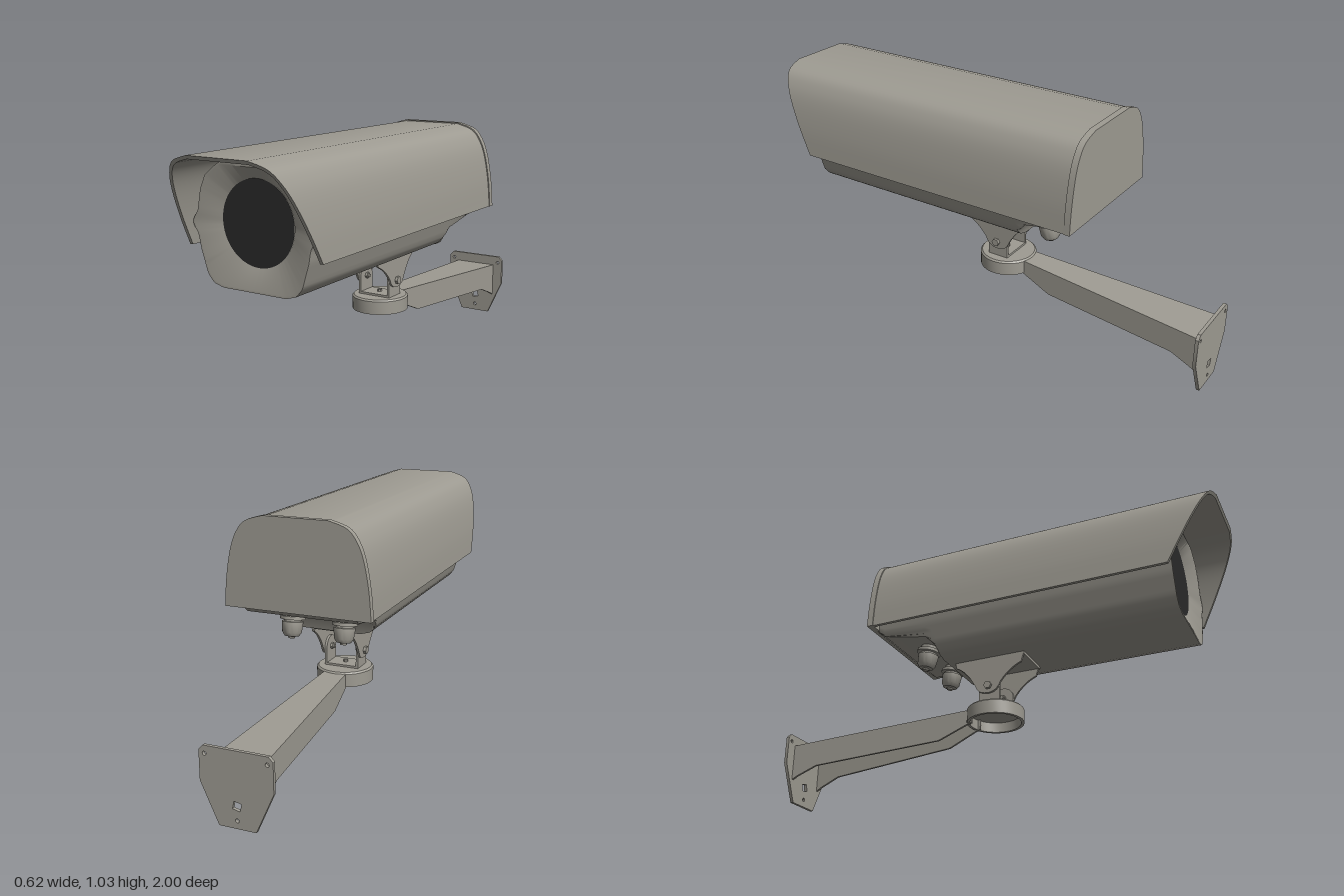
import * as THREE from 'three';
import { toCreasedNormals } from 'three/addons/utils/BufferGeometryUtils.js';

const lerp = THREE.MathUtils.lerp;
const mirror = (half) => [...half, ...half.slice().reverse().map(([x, y]) => [-x, y])];
const toShape = (pts) => new THREE.Shape(pts.map(([x, y]) => new THREE.Vector2(x, y)));
const smooth = (pts, n) => new THREE.SplineCurve(pts.map(([x, y]) => new THREE.Vector2(x, y)))
  .getPoints(n).map((p) => [p.x, p.y]);
const extrude = (shape, depth) => new THREE.ExtrudeGeometry(shape, { depth, bevelEnabled: false, curveSegments: 20 });

// Moves every vertex by a rule
function warp(geo, rule) {
  const p = geo.attributes.position, v = new THREE.Vector3();
  for (let i = 0; i < p.count; i++) {
    rule(v.fromBufferAttribute(p, i));
    p.setXYZ(i, v.x, v.y, v.z);
  }
  return geo;
}

// Plate outlined in (z, y), centred on the given x
const sidePlate = (shape, x, t) => extrude(shape, t).rotateY(-Math.PI / 2).translate(x + t / 2, 0, 0);

// Skin over equal-length rings, running front to back
function loft(rings) {
  const n = rings[0].length, index = [];
  for (let i = 0; i < rings.length - 1; i++) {
    for (let j = 0; j < n; j++) {
      const a = i * n + j, b = i * n + (j + 1) % n;
      index.push(a, a + n, b, b, a + n, b + n);
    }
  }
  const geo = new THREE.BufferGeometry();
  geo.setAttribute('position', new THREE.Float32BufferAttribute(rings.flat(2), 3));
  geo.setIndex(index);
  return geo;
}

export function createModel() {
  const model = new THREE.Group();
  const grey = new THREE.MeshStandardMaterial({ color: 0x9e9b92, side: THREE.DoubleSide });
  grey.name = 'warm grey metal';
  const black = new THREE.MeshStandardMaterial({ color: 0x2b2b2b });
  black.name = 'black glass';
  const add = (name, geo, mat = grey, parent = model) => {
    const mesh = new THREE.Mesh(toCreasedNormals(geo, 0.55), mat);
    mesh.name = name;
    parent.add(mesh);
    return mesh;
  };

  // Housing: dished front, long tube, undercut rear floor
  const cy = 0.77, lensR = 0.163;
  const outline = toShape(mirror([[0.145, 0.52], [0.19, 0.533], [0.217, 0.565], [0.247, 0.66], [0.256, 0.71],
    [0.279, 0.745], [0.279, 0.765], [0.256, 0.8], [0.24, 0.88], [0.215, 0.935], [0.15, 0.985]]));
  outline.closePath();
  const pts = outline.getSpacedPoints(120).slice(0, 120);
  const ring = (z, scale = 1, floor = 0) => pts.map((p) =>
    [p.x * scale, Math.max(floor, cy + (p.y - cy) * scale), z]);
  const lensRing = pts.map((p) => {
    const a = Math.atan2(p.y - cy, p.x);
    return [lensR * Math.cos(a), cy + lensR * Math.sin(a), 0.785];
  });
  add('housing', loft([lensRing, ring(0.82, 0.965), ring(0.82), ring(-0.22), ring(-0.235, 1, 0.57),
    ring(-0.265, 1, 0.602), ring(-0.46, 1, 0.638), ring(-0.495, 1, 0.665), ring(-0.495, 0)]));
  add('lens', new THREE.CircleGeometry(lensR + 0.001, 64).translate(0, cy, 0.787), black);

  // Sunshield: thin arch with a raked front edge
  const arch = (d) => smooth([[0.305 - d, 0.665], [0.295 - d, 0.78], [0.275 - d, 0.89],
    [0.248 - d, 0.96], [0.208 - d * 0.7, 1.006 - d * 0.7], [0.135, 1.03 - d]], 24);
  const outer = mirror(arch(0)), inner = mirror(arch(0.014));
  add('sunshield', warp(extrude(toShape([...outer, ...inner.reverse()]), 1), (v) => {
    v.z = v.z > 0.5 ? 0.815 + (v.y - 0.665) / 0.365 * 0.185 : -0.5;
  }));
  add('sunshieldRail', new THREE.BoxGeometry(0.025, 0.04, 1.25).translate(0, 1, 0.17));

  // Rear cover of the sunshield
  add('rearCover', extrude(toShape(outer.map(([x, y]) => [x * 1.012, y > 0.7 ? y + 0.005 : y])), 0.027)
    .translate(0, 0, -0.512));

  // Cable glands under the sloping rear floor
  const glandProfile = [[0, -0.105], [0.013, -0.105], [0.015, -0.098], [0.03, -0.095], [0.04, -0.08], [0.044, -0.04],
    [0.044, -0.035], [0.036, -0.034], [0.036, -0.026], [0.052, -0.025], [0.052, -0.012], [0.038, -0.01], [0.038, 0.02]]
    .map(([r, y]) => new THREE.Vector2(r, y));
  for (const s of [-1, 1]) {
    const gland = add('cableGland', new THREE.LatheGeometry(glandProfile, 24));
    gland.position.set(s * 0.115, 0.605, -0.305);
    gland.rotation.x = 0.17;
  }

  // Tilt bracket: upper saddle, lower fork and pivot bolts
  const pz = -0.035, py = 0.39;
  const bracket = new THREE.Group();
  bracket.name = 'tiltBracket';
  model.add(bracket);
  const saddle = new THREE.Shape();
  saddle.moveTo(-0.19, 0.52);
  saddle.lineTo(-0.185, 0.495);
  saddle.quadraticCurveTo(-0.13, 0.47, pz - 0.055, py - 0.005);
  saddle.quadraticCurveTo(pz - 0.045, 0.36, pz, 0.358);
  saddle.quadraticCurveTo(pz + 0.04, 0.36, pz + 0.055, py + 0.01);
  saddle.quadraticCurveTo(0.06, 0.455, 0.115, 0.475);
  saddle.lineTo(0.13, 0.52);
  const fork = new THREE.Shape();
  fork.moveTo(pz - 0.047, 0.315);
  fork.lineTo(pz + 0.047, 0.315);
  fork.lineTo(pz + 0.047, py);
  fork.absarc(pz, py, 0.047, 0, Math.PI);
  add('saddleTop', new THREE.BoxGeometry(0.176, 0.012, 0.32).translate(0, 0.514, -0.03), grey, bracket);
  add('forkBase', new THREE.BoxGeometry(0.15, 0.01, 0.094).translate(0, 0.321, pz), grey, bracket);
  for (const s of [-1, 1]) {
    add('saddleSide', sidePlate(saddle, s * 0.083, 0.01), grey, bracket);
    add('forkSide', sidePlate(fork, s * 0.072, 0.01), grey, bracket);
    const barrel = (name, r, len, x, sides) => add(name,
      new THREE.CylinderGeometry(r, r, len, sides).rotateZ(Math.PI / 2).translate(s * x, py, pz), grey, bracket);
    barrel('pivotBolt', 0.008, 0.05, 0.075, 12);
    barrel('pivotHead', 0.017, 0.013, 0.094, 6);
    barrel('pivotNut', 0.014, 0.01, 0.062, 6);
  }
  add('swivelBolt', new THREE.CylinderGeometry(0.01, 0.01, 0.02, 6).translate(0, 0.327, pz), grey, bracket);

  // Swivel cup, open below
  const cup = [[0, 0.296], [0.109, 0.296], [0.109, 0.253], [0.122, 0.253], [0.122, 0.31], [0.115, 0.317], [0, 0.317]];
  add('swivelCup', new THREE.LatheGeometry(cup.map(([r, y]) => new THREE.Vector2(r, y)), 40).translate(0, 0, -0.04));

  // Arm: tapering channel, open below
  const arm = new THREE.Group();
  arm.name = 'arm';
  model.add(arm);
  const halfWidth = (z) => lerp(0.05, 0.1, (-0.16 - z) / 0.82);
  const topY = (z) => lerp(0.313, 0.258, (-0.12 - z) / 0.87);
  add('armTop', warp(new THREE.BoxGeometry(2, 0.012, 1), (v) => {
    v.z = v.z > 0 ? -0.12 : -0.988;
    v.x *= halfWidth(v.z);
    v.y += topY(v.z) - 0.006;
  }), grey, arm);
  const wall = toShape([[-0.13, 0.312], [-0.988, 0.258], [-0.988, 0.1], [-0.96, 0.115], [-0.87, 0.152],
    [-0.28, 0.192], [-0.15, 0.248], [-0.13, 0.253]]);
  for (const s of [-1, 1]) {
    add('armWall', warp(sidePlate(wall, 0, 0.01), (v) => { v.x += s * (halfWidth(v.z) - 0.005); }), grey, arm);
  }

  // Wall plate with cable and screw holes
  const plate = toShape(mirror([[0.075, 0.002], [0.148, 0.165], [0.148, 0.285], [0.13, 0.303]]));
  const hole = (x, y, r, sides, turn = 0) => {
    const p = [];
    for (let i = 0; i < sides; i++) {
      const a = turn + i / sides * Math.PI * 2;
      p.push(new THREE.Vector2(x + r * Math.cos(a), y + r * Math.sin(a)));
    }
    plate.holes.push(new THREE.Path(p));
  };
  hole(0, 0.09, 0.022, 4, 1.0);
  hole(0, 0.034, 0.008, 12);
  for (const s of [-1, 1]) hole(s * 0.125, 0.272, 0.008, 12);
  add('wallPlate', extrude(plate, 0.014).translate(0, 0, -1));
  return model;
}
